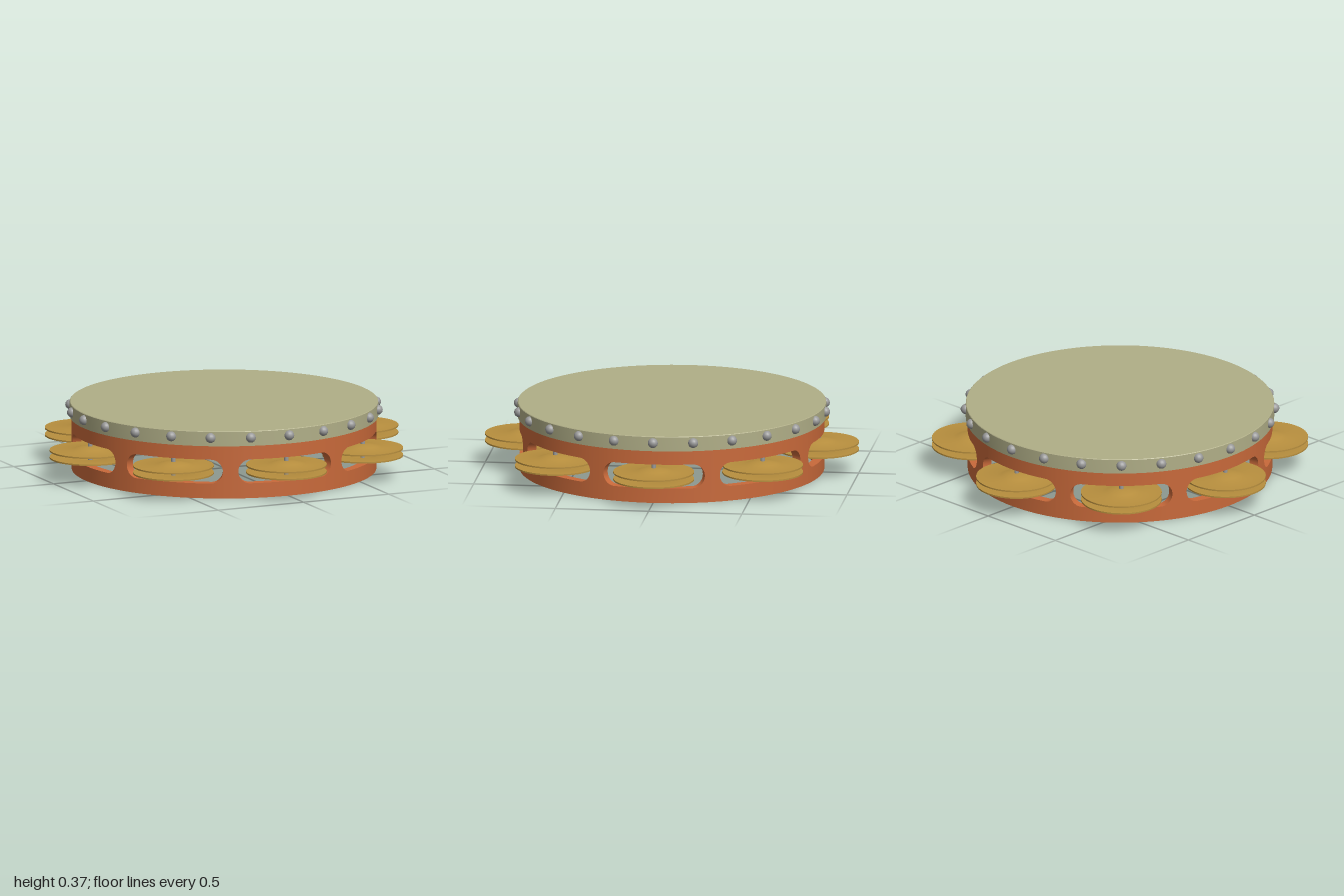
import * as THREE from 'three';
import { toCreasedNormals } from 'three/addons/utils/BufferGeometryUtils.js';

const R_OUT = 0.81, R_IN = 0.76, R_JINGLE = 0.785;
const TOP = 0.352, SLOT_Y = 0.145, SLOT_H = 0.065, SLOT_HALF = 0.342, CAP = 0.08;

const mat = (color) => new THREE.MeshStandardMaterial({ color });

function lathe(points, segments) {
  const g = new THREE.LatheGeometry(points.map(([x, y]) => new THREE.Vector2(x, y)), segments);
  return toCreasedNormals(g, 0.6);
}

// Columns around the hoop: angle and half height of the slot there
function hoopColumns() {
  const half = [];
  for (let i = 0; i <= 4; i++) half.push([(SLOT_HALF - CAP) * i / 4, SLOT_H]);
  for (let i = 1; i <= 10; i++) {
    const t = i / 10 * Math.PI / 2;
    half.push([SLOT_HALF - CAP + CAP * Math.sin(t), i === 10 ? 0 : SLOT_H * Math.cos(t)]);
  }
  half.push([Math.PI / 8, 0]);
  const octant = [...half.slice(1).reverse().map(([a, h]) => [-a, h]), ...half];
  const columns = [];
  for (let k = 0; k < 8; k++) {
    for (const [a, h] of octant.slice(0, -1)) columns.push([a + k * Math.PI / 4, h]);
  }
  return columns;
}

// Hoop: a lower and an upper rail that part around each slot
function hoopGeometry() {
  const columns = hoopColumns(), pos = [];
  const at = (a, r, y) => [r * Math.sin(a), y, r * Math.cos(a)];
  const quad = (a, b, c, d) => pos.push(...a, ...b, ...c, ...a, ...c, ...d);
  const section = ([a, h], upper) => {
    const lo = upper ? SLOT_Y + h : 0, hi = upper ? TOP : SLOT_Y - h;
    return [at(a, R_OUT, lo), at(a, R_OUT, hi), at(a, R_IN, hi), at(a, R_IN, lo)];
  };
  columns.forEach((col, i) => {
    const next = columns[(i + 1) % columns.length];
    const solid = col[1] === 0 && next[1] === 0;
    for (const upper of [false, true]) {
      const p = section(col, upper), q = section(next, upper);
      for (let j = 0; j < 4; j++) {
        if (solid && j === (upper ? 3 : 1)) continue; // no faces inside the wood
        const k = (j + 1) % 4;
        quad(p[j], q[j], q[k], p[k]);
      }
    }
  });
  const g = new THREE.BufferGeometry();
  g.setAttribute('position', new THREE.Float32BufferAttribute(pos, 3));
  return toCreasedNormals(g, 0.6);
}

export function createModel() {
  const model = new THREE.Group();
  const wood = mat(0xc8693a), hide = mat(0xb0ae87), brass = mat(0xb88f3e), steel = mat(0x999999);
  const add = (parent, name, geometry, material, x = 0, y = 0, z = 0) => {
    const mesh = new THREE.Mesh(geometry, material);
    mesh.name = name;
    mesh.position.set(x, y, z);
    parent.add(mesh);
    return mesh;
  };

  add(model, 'hoop', hoopGeometry(), wood);

  // Skin stretched over the hoop with its rim folded down
  add(model, 'drumSkin', lathe([
    [0, 0.35], [0.809, 0.35], [0.809, 0.285], [0.82, 0.285], [0.82, 0.362], [0.817, 0.365], [0, 0.365],
  ], 96), hide);

  // Tacks around the rim
  const tack = new THREE.SphereGeometry(0.027, 16, 12);
  for (let i = 0; i < 24; i++) {
    const a = i * Math.PI / 12;
    add(model, 'tack', tack, steel, 0.82 * Math.sin(a), 0.33, 0.82 * Math.cos(a));
  }

  // Pairs of domed jingles on pins, one pair per slot
  const jingle = lathe([
    [0, 0.015], [0.04, 0.012], [0.075, 0.004], [0.1, -0.004], [0.215, -0.004],
    [0.215, 0.004], [0.103, 0.004], [0.078, 0.012], [0.042, 0.02], [0, 0.023],
  ], 48);
  const pin = new THREE.CylinderGeometry(0.012, 0.012, 0.14, 16);
  for (let i = 0; i < 8; i++) {
    const a = i * Math.PI / 4;
    const pair = new THREE.Group();
    pair.name = 'jinglePair';
    pair.position.set(R_JINGLE * Math.sin(a), SLOT_Y, R_JINGLE * Math.cos(a));
    add(pair, 'pin', pin, steel);
    add(pair, 'upperJingle', jingle, brass, 0, 0.019, 0);
    add(pair, 'lowerJingle', jingle, brass, 0, -0.019, 0).rotation.x = Math.PI;
    model.add(pair);
  }
  return model;
}
